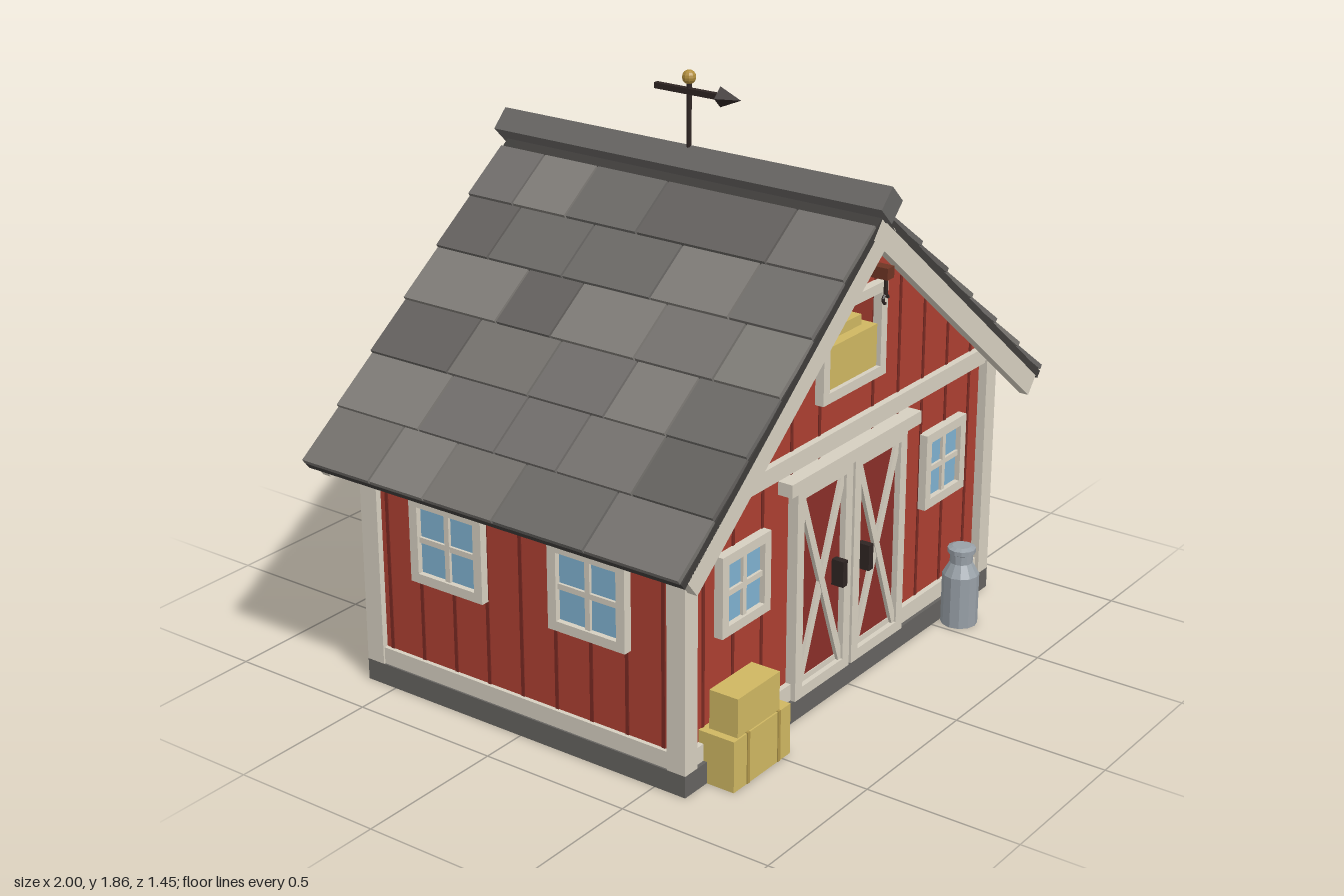
import * as THREE from 'three';

const mat = (color) => new THREE.MeshStandardMaterial({ color, flatShading: true });
const M = {
  red: mat(0xad3f31), groove: mat(0x7a2a22), door: mat(0x8a2f28), trim: mat(0xd6cfc0),
  stone: mat(0x656360), glass: mat(0x7fb2d0), straw: mat(0xcfb762), strap: mat(0xb0964a),
  dark: mat(0x3a2a24), iron: mat(0x2f2523), metal: mat(0x98a0a7), gold: mat(0xb08d3c),
  deck: mat(0x3f3d3b), ridge: mat(0x676563), beam: mat(0x6e3524),
};
const shingleMats = [0x6b6966, 0x75726e, 0x7f7c77, 0x64615e, 0x716e6b].map(mat);

function add(parent, name, geo, material, x = 0, y = 0, z = 0) {
  const m = new THREE.Mesh(geo, material);
  m.name = name;
  m.position.set(x, y, z);
  parent.add(m);
  return m;
}
// Box given by its min and max on each axis
function box(parent, name, material, x0, x1, y0, y1, z0, z1) {
  return add(parent, name, new THREE.BoxGeometry(x1 - x0, y1 - y0, z1 - z0), material,
    (x0 + x1) / 2, (y0 + y1) / 2, (z0 + z1) / 2);
}
function group(parent, name, x = 0, y = 0, z = 0, ry = 0) {
  const g = new THREE.Group();
  g.name = name;
  g.position.set(x, y, z);
  g.rotation.y = ry;
  parent.add(g);
  return g;
}
// Rectangular frame centred on the origin, facing +z
function frame(parent, w, h, t, depth) {
  for (const s of [-1, 1]) {
    add(parent, 'frameSide', new THREE.BoxGeometry(t, h, depth), M.trim, s * (w - t) / 2, 0, depth / 2);
    add(parent, 'frameRail', new THREE.BoxGeometry(w - 2 * t, t, depth), M.trim, 0, s * (h - t) / 2, depth / 2);
  }
}
function windowUnit(parent, name, w, h, x, y, z, ry = 0) {
  const g = group(parent, name, x, y, z, ry);
  frame(g, w, h, 0.031, 0.03);
  box(g, 'glass', M.glass, -w / 2 + 0.02, w / 2 - 0.02, -h / 2 + 0.02, h / 2 - 0.02, 0, 0.012);
  box(g, 'mullion', M.trim, -0.009, 0.009, -h / 2 + 0.02, h / 2 - 0.02, 0, 0.022);
  box(g, 'crossbar', M.trim, -w / 2 + 0.02, w / 2 - 0.02, -0.009, 0.009, 0, 0.021);
}

const SLOPE = 0.81, ANGLE = Math.atan(SLOPE), WALL_X = 0.83, WALL_Z = 0.58;
const wallTop = (x) => 1.51 - SLOPE * Math.abs(x);

function buildWalls(root) {
  const g = group(root, 'walls');
  box(g, 'foundation', M.stone, -0.85, 0.85, 0, 0.07, -0.61, 0.61);
  // Gabled body with the loft opening cut through
  const s = new THREE.Shape([[-WALL_X, 0.06], [WALL_X, 0.06], [WALL_X, wallTop(WALL_X)], [0, 1.51],
    [-WALL_X, wallTop(WALL_X)]].map(([x, y]) => new THREE.Vector2(x, y)));
  s.holes.push(new THREE.Path([[-0.15, 1.0], [-0.15, 1.26], [0.15, 1.26], [0.15, 1.0]]
    .map(([x, y]) => new THREE.Vector2(x, y))));
  const geo = new THREE.ExtrudeGeometry(s, { depth: 2 * WALL_Z, bevelEnabled: false });
  add(g, 'barnBody', geo, M.red, 0, 0, -WALL_Z);
  box(g, 'loftInterior', M.dark, -0.151, 0.151, 0.999, 1.261, -0.53, 0.45);

  // Board grooves
  for (const f of [-1, 1]) {
    for (let k = -5; k <= 5; k++) {
      if (k === 0) continue;
      const x = k * 0.145;
      box(g, 'gableGroove', M.groove, x - 0.006, x + 0.006, 0.1, wallTop(x) - 0.02, f * WALL_Z - 0.003, f * WALL_Z + 0.003);
    }
    for (let k = -4; k <= 4; k++) {
      const z = k * 0.13;
      box(g, 'sideGroove', M.groove, f * WALL_X - 0.003, f * WALL_X + 0.003, 0.1, 0.83, z - 0.006, z + 0.006);
    }
  }
  // Corner posts, base boards and gable bands
  for (const f of [-1, 1]) {
    for (const e of [-1, 1])
      add(g, 'cornerPost', new THREE.BoxGeometry(0.06, 0.76, 0.065), M.trim, e * 0.82, 0.45, f * 0.5775);
    add(g, 'baseBoard', new THREE.BoxGeometry(1.6, 0.055, 0.02), M.trim, 0, 0.0975, f * 0.588);
    add(g, 'sideBaseBoard', new THREE.BoxGeometry(0.02, 0.055, 1.1), M.trim, f * 0.834, 0.0975, 0);
    add(g, 'gableBand', new THREE.BoxGeometry(1.58, 0.055, 0.025), M.trim, 0, 0.847, f * 0.59);
  }
}

function buildOpenings(root) {
  for (const s of [-1, 1]) {
    windowUnit(root, 'frontWindow', 0.24, 0.255, s * 0.55, 0.557, WALL_Z);
    for (const e of [-1, 1])
      windowUnit(root, 'sideWindow', 0.28, 0.28, s * WALL_X, 0.54, e * 0.265, s * Math.PI / 2);
    frame(group(root, 'loftFrame', 0, 1.13, s * WALL_Z, s > 0 ? 0 : Math.PI), 0.34, 0.3, 0.032, 0.03);
  }
  windowUnit(root, 'backWindow', 0.33, 0.3, 0, 0.54, -WALL_Z, Math.PI);

  // Double doors with crossed braces
  const w = 0.295, h = 0.69, t = 0.036;
  for (const s of [-1, 1]) {
    const d = group(root, 'barnDoor', s * 0.154, 0.415, WALL_Z);
    box(d, 'doorPanel', M.door, -w / 2 + 0.01, w / 2 - 0.01, -h / 2 + 0.01, h / 2 - 0.01, 0, 0.015);
    frame(d, w, h, t, 0.035);
    const iw = w - 2 * t, ih = h - 2 * t;
    for (const e of [-1, 1]) {
      const b = add(d, 'brace', new THREE.BoxGeometry(0.026, Math.hypot(iw, ih), 0.026), M.trim, 0, 0, 0.014 + e * 0.001);
      b.rotation.z = e * Math.atan2(iw, ih);
    }
    box(d, 'handle', M.iron, -s * 0.082 - 0.012, -s * 0.082 + 0.012, -0.045, 0.04, 0.01, 0.057);
  }
  box(root, 'doorHeader', M.trim, -0.355, 0.355, 0.76, 0.802, WALL_Z, 0.63);

  // Loft hay and hoist
  box(root, 'loftBale', M.straw, -0.14, 0.14, 1.005, 1.145, 0.44, 0.595);
  box(root, 'loftBaleTop', M.straw, -0.095, 0.105, 1.145, 1.178, 0.44, 0.56);
  box(root, 'hoistBeam', M.beam, -0.018, 0.018, 1.35, 1.386, 0.5, 0.722);
  add(root, 'hoistRope', new THREE.CylinderGeometry(0.007, 0.007, 0.06, 6), M.iron, 0, 1.325, 0.706);
  add(root, 'hoistHook', new THREE.TorusGeometry(0.013, 0.005, 5, 10, Math.PI * 1.5), M.iron, 0, 1.286, 0.706);
}

// Shingle seams along the ridge, rows from ridge to eave
const SEAMS = {
  1: [[0.395, 0.06, -0.215, -0.525], [0.435, 0.22, -0.055, -0.385], [0.41, 0.17, -0.055, -0.315],
    [0.39, 0.18, -0.1, -0.355], [0.5, 0.25, 0.015, -0.23, -0.475], [0.365, 0.29, -0.01, -0.285, -0.47]],
  '-1': [[0.43, -0.04, -0.31, -0.52], [0.41, 0.13, -0.2, -0.49], [0.47, 0.19, -0.12, -0.33],
    [0.42, 0.2, -0.08, -0.39], [0.42, 0.15, -0.08, -0.37], [0.37, 0.04, -0.22, -0.43]],
};

function buildRoof(root) {
  const roof = group(root, 'roof', 0, 1.55, 0);
  for (const s of [1, -1]) {
    const side = group(roof, 'roofSide', 0, 0, 0, s > 0 ? 0 : Math.PI);
    const g = group(side, 'roofSlope');
    g.rotation.z = -ANGLE; // local x runs down the slope
    box(g, 'roofDeck', M.deck, 0, 1.268, -0.025, 0, -0.698, 0.698);
    for (const f of [-1, 1])
      add(g, 'bargeBoard', new THREE.BoxGeometry(1.25, 0.07, 0.032), M.trim, 0.625, -0.058, f * 0.682);
    const pitch = 0.2015;
    SEAMS[s].forEach((seams, row) => {
      const edges = [0.7, ...seams, -0.7];
      for (let i = 0; i + 1 < edges.length; i++) {
        const width = edges[i] - edges[i + 1] - 0.007;
        const x1 = 0.06 + (row + 1) * pitch;
        const m = add(g, 'shingle', new THREE.BoxGeometry(pitch, 0.016, width),
          shingleMats[(row * 3 + i * 2 + (i * row) % 3 + (s > 0 ? 0 : 1)) % 5],
          x1 - pitch / 2, 0.008, s * (edges[i] + edges[i + 1]) / 2);
        m.rotation.z = 0.06; // lower end lifted over the next row
      }
    });
  }
  const cap = add(roof, 'ridgeCap', new THREE.BoxGeometry(0.08, 0.08, 1.44), M.ridge, 0, 0.022, 0);
  cap.rotation.z = Math.PI / 4;
}

function buildVane(root) {
  const g = group(root, 'weatherVane');
  add(g, 'vanePole', new THREE.CylinderGeometry(0.008, 0.008, 0.24, 8), M.iron, 0, 1.71, 0);
  add(g, 'vaneBall', new THREE.SphereGeometry(0.022, 10, 8), M.gold, 0, 1.838, 0);
  box(g, 'vaneShaft', M.iron, -0.009, 0.009, 1.786, 1.804, -0.125, 0.13);
  const head = add(g, 'vaneHead', new THREE.ConeGeometry(0.032, 0.075, 4), M.iron, 0, 1.795, 0.152);
  head.rotation.x = Math.PI / 2;
}

function buildYard(root) {
  const bale = (x0, x1, y0, y1, z0, z1, straps) => {
    const g = group(root, 'strawBale');
    box(g, 'bale', M.straw, x0, x1, y0, y1, z0, z1);
    for (const x of straps)
      box(g, 'baleStrap', M.strap, x - 0.006, x + 0.006, y0 + 0.001, y1 + 0.003, z0, z1 + 0.003);
  };
  bale(-0.745, -0.46, 0, 0.165, 0.575, 0.705, [-0.675, -0.52]);
  bale(-0.72, -0.51, 0.165, 0.29, 0.6, 0.7, []);
  // Milk can
  const profile = [[0, 0], [0.06, 0], [0.06, 0.175], [0.037, 0.215], [0.037, 0.245], [0.046, 0.25], [0.046, 0.265], [0.03, 0.272], [0, 0.272]];
  add(root, 'milkCan', new THREE.LatheGeometry(profile.map(([x, y]) => new THREE.Vector2(x, y)), 12), M.metal, 0.575, 0, 0.667);
}

export function createModel() {
  const root = new THREE.Group();
  root.name = 'barn';
  buildWalls(root);
  buildOpenings(root);
  buildRoof(root);
  buildVane(root);
  buildYard(root);
  return root;
}
